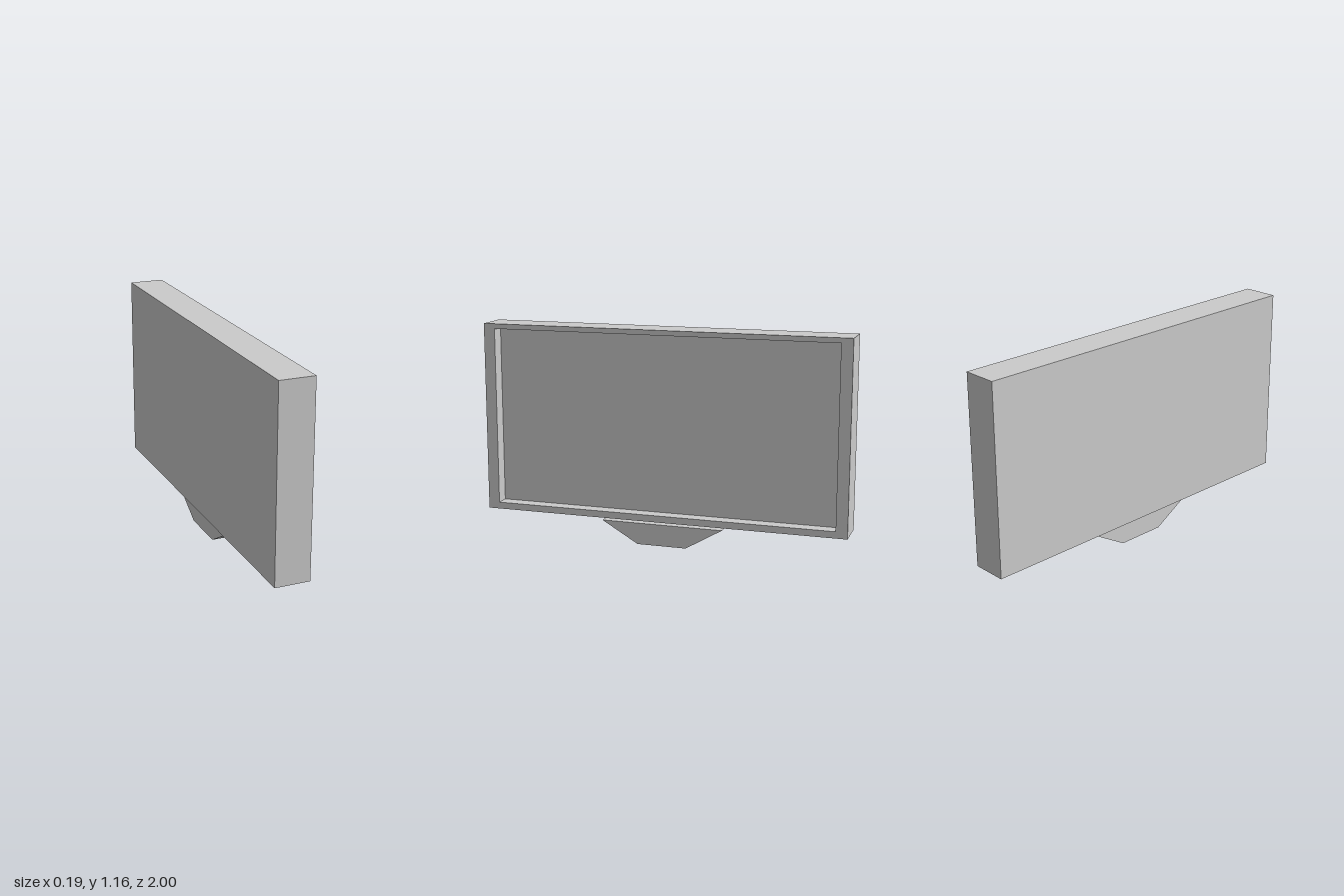
import * as THREE from 'three';

const material = new THREE.MeshStandardMaterial({ color: 0xcccccc, flatShading: true });

// Shape from [z, y] corner pairs
const polygon = (points) => points.map(([z, y]) => new THREE.Vector2(z, y));
const rectangle = (halfWidth, y0, y1) =>
  polygon([[-halfWidth, y0], [halfWidth, y0], [halfWidth, y1], [-halfWidth, y1]]);

// Extrudes a side profile along x, from x0 to x1
function extrudeAlongX(name, outline, x0, x1, hole) {
  const shape = new THREE.Shape(outline);
  if (hole) shape.holes.push(new THREE.Path(hole));
  const geometry = new THREE.ExtrudeGeometry(shape, { depth: x1 - x0, bevelEnabled: false });
  geometry.rotateY(Math.PI / 2).translate(x0, 0, 0);
  const mesh = new THREE.Mesh(geometry, material);
  mesh.name = name;
  return mesh;
}

export function createModel() {
  const group = new THREE.Group();
  group.name = 'flatScreen';

  const back = -0.094, screenX = 0.019, front = 0.094;
  const outer = rectangle(1, 0.135, 1.163);
  const opening = rectangle(0.938, 0.171, 1.136);

  // Housing, whose +x face is the recessed screen
  group.add(extrudeAlongX('housing', outer, back, screenX));

  // Raised border around the screen
  group.add(extrudeAlongX('bezel', outer, screenX, front, opening));

  // Tapered foot, just below the housing
  const footProfile = polygon([[-0.135, 0], [0.135, 0], [0.335, 0.117], [-0.335, 0.117]]);
  group.add(extrudeAlongX('foot', footProfile, -0.053, 0.077));

  return group;
}
